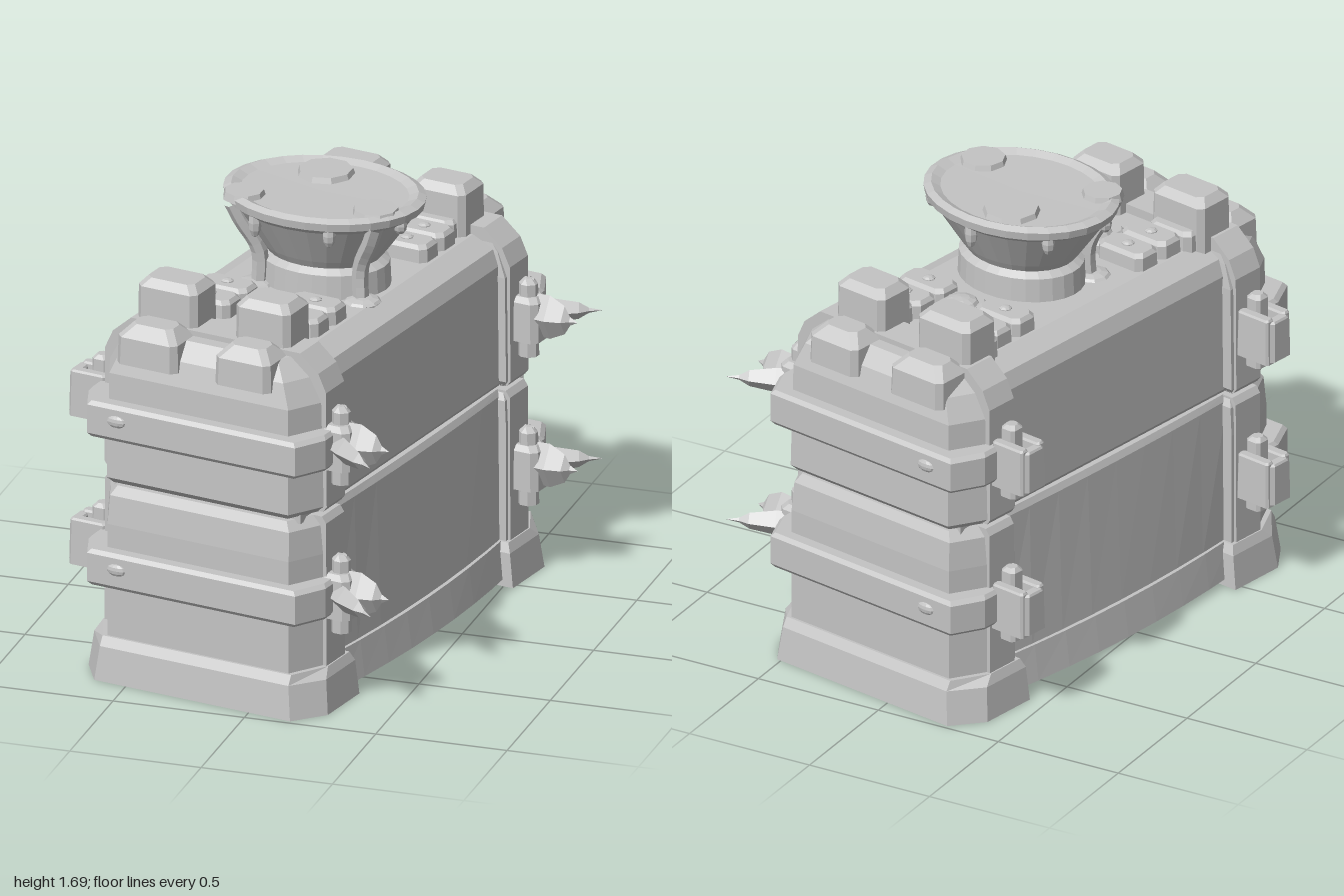
import * as THREE from 'three';

const stone = new THREE.MeshStandardMaterial({ color: 0xc4c4c4, flatShading: true });
stone.name = 'greyStone';

function add(parent, name, geometry) {
  const mesh = new THREE.Mesh(geometry, stone);
  mesh.name = name;
  parent.add(mesh);
  return mesh;
}

// Solid through stacked plan outlines: layers are [y, [[x, z], ...]]
function loft(layers) {
  const n = layers[0][1].length, pos = [];
  const outline = layers[0][1];
  let area = 0;
  outline.forEach(([x, z], i) => {
    const [x2, z2] = outline[(i + 1) % n];
    area += x * z2 - x2 * z;
  });
  const rings = layers.map(([y, pts]) => {
    const ring = pts.map(([x, z]) => [x, y, z]);
    return area < 0 ? ring.reverse() : ring;
  });
  const tri = (a, b, c) => pos.push(...a, ...b, ...c);
  for (let k = 0; k + 1 < rings.length; k++) {
    for (let i = 0; i < n; i++) {
      const j = (i + 1) % n, a = rings[k], b = rings[k + 1];
      tri(a[i], b[i], a[j]);
      tri(a[j], b[i], b[j]);
    }
  }
  const low = rings[0], top = rings[rings.length - 1];
  for (let i = 1; i + 1 < n; i++) {
    tri(low[0], low[i], low[i + 1]);
    tri(top[0], top[i + 1], top[i]);
  }
  const g = new THREE.BufferGeometry();
  g.setAttribute('position', new THREE.Float32BufferAttribute(pos, 3));
  g.computeVertexNormals();
  return g;
}

// Plan of an end section: straight at z0, chamfered corners at z1
const endPlan = (s, hw, z0, z1, cx = 0.075, cz = 0.14) => [
  [hw, z0 * s], [hw, (z1 - cz) * s], [hw - cx, z1 * s],
  [-hw + cx, z1 * s], [-hw, (z1 - cz) * s], [-hw, z0 * s],
];

// Plan of a rib crossing the body
const ribPlan = (s, hw) => [[hw, 0.615 * s], [hw, 0.75 * s], [-hw, 0.75 * s], [-hw, 0.615 * s]];

// Plan of the middle section, with bowed long sides
function midPlan(hw, bow, len = 0.63) {
  const right = [], left = [];
  for (let i = 0; i <= 8; i++) {
    const t = i / 4 - 1, w = hw + bow * (1 - t * t);
    right.push([w, t * len]);
    left.unshift([-w, t * len]);
  }
  return [...right, ...left];
}

// Rough block with cut corners and a bevelled top
function block(x, z, w, d, y0, y1, bevel = 0.035, c = 0.022) {
  const plan = (k) => {
    const a = w / 2 - k, b = d / 2 - k;
    return [[a, b - c], [a - c, b], [-a + c, b], [-a, b - c], [-a, -b + c], [-a + c, -b], [a - c, -b], [a, -b + c]]
      .map(([px, pz]) => [px + x, pz + z]);
  };
  return loft([[y0, plan(0)], [y1 - bevel, plan(0.003)], [y1, plan(bevel)]]);
}

// Four-sided blade pointing along +x
function spike(length, width, height) {
  const g = new THREE.LatheGeometry([
    new THREE.Vector2(0.001, 0), new THREE.Vector2(0.95, 0), new THREE.Vector2(1, length * 0.4),
    new THREE.Vector2(0.65, length * 0.72), new THREE.Vector2(0.2, length * 0.84), new THREE.Vector2(0.001, length),
  ], 4);
  return g.rotateZ(-Math.PI / 2).scale(1, height / 2, width / 2);
}

function addBand(parent, s, y) {
  const band = new THREE.Group();
  band.name = 'band';
  parent.add(band);
  const plan = (k) => endPlan(s, 0.49 - k, 0.68 + k, 0.933 - k, 0.06, 0.12);
  add(band, 'bandStrap', loft([[y - 0.07, plan(0.012)], [y - 0.055, plan(0)], [y + 0.055, plan(0)], [y + 0.07, plan(0.012)]]));
  const rivet = add(band, 'rivet', new THREE.SphereGeometry(0.04, 10, 6));
  rivet.scale.set(1, 0.6, 0.35);
  rivet.position.set(-0.31, y + 0.01, 0.931 * s);

  // Right clasp with upright pin and two blades
  add(band, 'claspBlock', block(0.485, 0.7 * s, 0.13, 0.12, y - 0.085, y + 0.085, 0.02));
  add(band, 'claspPin', block(0.49, 0.695 * s, 0.075, 0.07, y - 0.15, y + 0.15, 0.02));
  const straight = add(band, 'straightSpike', spike(0.19, 0.1, 0.17));
  straight.position.set(0.5, y + 0.01, 0.7 * s);
  const slanted = add(band, 'slantedSpike', spike(0.31, 0.08, 0.1));
  slanted.position.set(0.44, y + 0.005, 0.7 * s);
  slanted.rotation.y = -s * 0.55;

  // Left clasp: a slotted loop holding a pin
  for (const side of [-1, 1]) {
    add(band, 'loopCheek', block(-0.535, 0.68 * s + side * 0.045, 0.15, 0.045, y - 0.09, y + 0.09, 0.008, 0.008));
  }
  add(band, 'loopEnd', block(-0.6, 0.68 * s, 0.045, 0.11, y - 0.08, y + 0.08, 0.008, 0.015));
  add(band, 'loopPin', block(-0.505, 0.68 * s, 0.07, 0.07, y - 0.14, y + 0.15, 0.015, 0.012));
}

function addEnd(parent, s) {
  const end = new THREE.Group();
  end.name = s > 0 ? 'frontEnd' : 'backEnd';
  end.position.x = -0.005;
  parent.add(end);
  // Foot, lower block and upper block
  add(end, 'foot', loft([
    [0, endPlan(s, 0.495, 0.57, 0.925, 0.09, 0.12)], [0.13, endPlan(s, 0.48, 0.575, 0.91, 0.09, 0.12)],
    [0.165, endPlan(s, 0.465, 0.59, 0.89)],
  ]));
  add(end, 'lowerEndBlock', loft([
    [0.15, endPlan(s, 0.45, 0.6, 0.88)], [0.6, endPlan(s, 0.45, 0.6, 0.88)],
    [0.71, endPlan(s, 0.445, 0.6, 0.87)], [0.745, endPlan(s, 0.425, 0.62, 0.85)],
  ]));
  add(end, 'upperEndBlock', loft([
    [0.76, endPlan(s, 0.435, 0.62, 0.86)], [0.785, endPlan(s, 0.45, 0.6, 0.885)], [1.19, endPlan(s, 0.445, 0.6, 0.875)],
    [1.28, endPlan(s, 0.41, 0.61, 0.85)], [1.345, endPlan(s, 0.36, 0.62, 0.8)],
  ]));
  // Upright ribs, the upper one arching over the top
  add(end, 'lowerRib', loft([[0.15, ribPlan(s, 0.46)], [0.72, ribPlan(s, 0.457)], [0.745, ribPlan(s, 0.44)]]));
  add(end, 'upperRib', loft([
    [0.765, ribPlan(s, 0.445)], [0.785, ribPlan(s, 0.46)], [1.23, ribPlan(s, 0.457)],
    [1.3, ribPlan(s, 0.425)], [1.365, ribPlan(s, 0.35)],
  ]));
  for (const y of [1.02, 0.44]) addBand(end, s, y);

  // Stepped crest: two tall blocks with lower ones outside them
  for (const [x, w] of [[-0.215, 0.25], [0.18, 0.23]]) {
    add(end, 'tallCrest', block(x, 0.65 * s, w, 0.18, 1.25, 1.52, 0.03));
    add(end, 'lowCrest', block(x, 0.8 * s, w, 0.18, 1.24, 1.39, 0.045));
    add(end, 'innerCrest', block(x, 0.56 * s, w - 0.05, 0.09, 1.25, 1.4, 0.015));
  }

  // Paving stones, each with a low stud
  for (const x of [-0.18, 0.185]) {
    for (const z of [0.34, 0.468]) {
      add(end, 'pavingStone', block(x, z * s, 0.215, 0.125, 1.3, 1.395, 0.015));
      const stud = add(end, 'stud', new THREE.SphereGeometry(0.025, 8, 5));
      stud.scale.y = 0.45;
      stud.position.set(x, 1.395, z * s);
    }
  }
  add(end, 'centreStone', block(0.005, 0.38 * s, 0.16, 0.19, 1.3, 1.37, 0.012));
  const knob = add(end, 'centreKnob', new THREE.SphereGeometry(0.065, 10, 6));
  knob.scale.y = 0.35;
  knob.position.set(0.005, 1.37, 0.37 * s);
}

function addBowl(parent) {
  const bowl = new THREE.Group();
  bowl.name = 'bowl';
  bowl.position.set(0.03, 0, 0);
  parent.add(bowl);
  const profile = [
    [0.21, 1.3], [0.205, 1.42], [0.18, 1.44], [0.2, 1.47], [0.29, 1.62],
    [0.315, 1.64], [0.32, 1.67], [0.295, 1.683], [0.265, 1.668], [0.001, 1.665],
  ].map(([x, y]) => new THREE.Vector2(x, y));
  add(bowl, 'bowlShell', new THREE.LatheGeometry(profile, 28).scale(1.2, 1, 0.98));

  // Hardened crust patches on the surface
  for (const [x, z, r] of [[-0.08, -0.15, 0.11], [0.26, 0.09, 0.09], [-0.24, 0.17, 0.08]]) {
    const crust = add(bowl, 'crustPatch', new THREE.CylinderGeometry(r * 0.9, r, 0.03, 9));
    crust.position.set(x, 1.672, z);
  }
  // Spilled runs from rim to deck
  for (const a of [0.6, 2.35]) {
    const at = (r, y) => new THREE.Vector3(Math.cos(a) * r * 1.2, y, Math.sin(a) * r);
    const curve = new THREE.CatmullRomCurve3([at(0.31, 1.65), at(0.28, 1.58), at(0.22, 1.46), at(0.22, 1.31)]);
    add(bowl, 'spillRun', new THREE.TubeGeometry(curve, 10, 0.03, 6));
    const pool = add(bowl, 'spillPool', new THREE.SphereGeometry(0.07, 9, 6));
    pool.scale.y = 0.25;
    pool.position.copy(at(0.23, 1.33));
  }
  // Short rounded drips hugging the underside of the rim
  for (let i = 0; i < 7; i++) {
    const a = i * 0.9 + 0.2, len = 0.035 + 0.012 * (i % 3);
    const drip = add(bowl, 'rimDrip', new THREE.SphereGeometry(1, 7, 6));
    drip.scale.set(0.025, len, 0.025);
    drip.position.set(Math.cos(a) * 0.35, 1.64 - len / 2, Math.sin(a) * 0.285);
  }
}

export function createModel() {
  const model = new THREE.Group();
  model.name = 'stoneFurnace';
  const body = new THREE.Group();
  body.name = 'furnaceBody';
  body.rotation.y = -0.19;
  body.position.x = -0.05;
  model.add(body);

  // Middle section between the two ends
  add(body, 'middleBase', loft([[0.025, midPlan(0.44, 0.04)], [0.165, midPlan(0.425, 0.035)]]));
  add(body, 'lowerWall', loft([
    [0.15, midPlan(0.415, 0.03)], [0.72, midPlan(0.41, 0.012)], [0.745, midPlan(0.4, 0.01)],
  ]));
  add(body, 'joint', loft([[0.73, midPlan(0.385, 0, 0.82)], [0.78, midPlan(0.385, 0, 0.82)]]));
  add(body, 'upperWall', loft([
    [0.755, midPlan(0.4, 0)], [0.775, midPlan(0.415, 0)], [1.23, midPlan(0.41, 0)],
    [1.29, midPlan(0.385, 0)], [1.33, midPlan(0.3, 0)],
  ]));

  for (const s of [1, -1]) addEnd(body, s);
  addBowl(body);
  return model;
}
